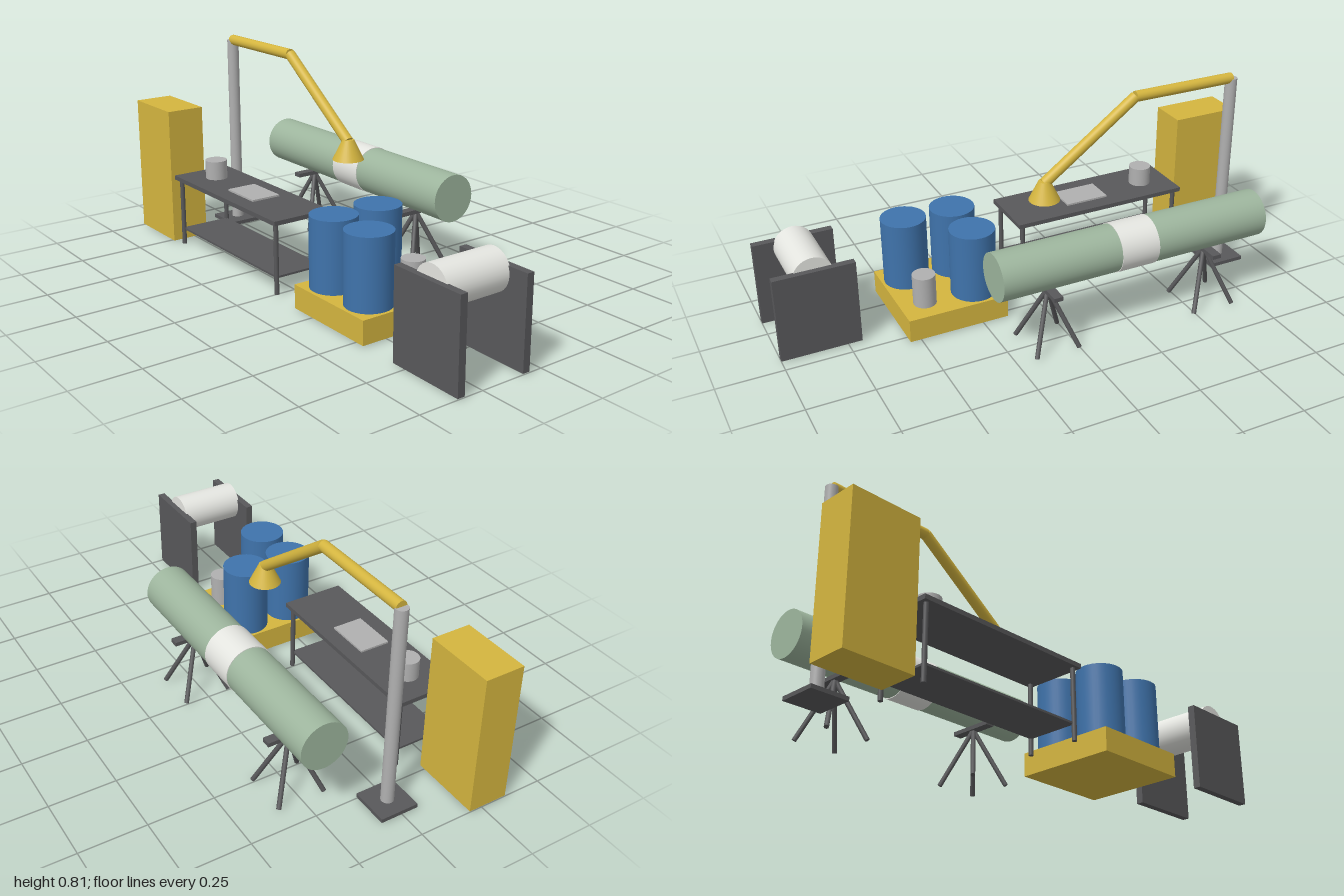
import * as THREE from 'three';

const paint = (color) => new THREE.MeshStandardMaterial({ color });

export function createModel() {
  const model = new THREE.Group();
  const yellow = paint(0xd4b53f), dark = paint(0x58585a), green = paint(0x9db59d);
  const blue = paint(0x3f73ab), steel = paint(0xb0b0b0), white = paint(0xe4e5e0);
  const FLOOR = 0.005;

  const group = (name) => {
    const g = new THREE.Group();
    g.name = name;
    model.add(g);
    return g;
  };
  const add = (parent, name, geometry, material) => {
    const mesh = new THREE.Mesh(geometry, material);
    mesh.name = name;
    parent.add(mesh);
    return mesh;
  };
  // Box given by its extent along each axis
  const box = (parent, name, [x0, x1], [y0, y1], [z0, z1], material) =>
    add(parent, name, new THREE.BoxGeometry(x1 - x0, y1 - y0, z1 - z0), material)
      .position.set((x0 + x1) / 2, (y0 + y1) / 2, (z0 + z1) / 2);
  // Cylinder (or cone) running from point a to point b
  const rod = (parent, name, a, b, radius, material, sides = 32, endRadius = radius) => {
    const from = new THREE.Vector3(...a), to = new THREE.Vector3(...b);
    const dir = to.clone().sub(from);
    const mesh = add(parent, name, new THREE.CylinderGeometry(endRadius, radius, dir.length(), sides), material);
    mesh.position.copy(from).add(to).multiplyScalar(0.5);
    mesh.quaternion.setFromUnitVectors(new THREE.Vector3(0, 1, 0), dir.normalize());
  };

  // Tall storage cabinet
  box(model, 'cabinet', [-1, -0.73], [FLOOR, 0.55], [0.2, 0.352], yellow);

  // Large pipe with a wrapped joint
  const pipe = group('pipe');
  rod(pipe, 'pipeBody', [-0.79, 0.333, -0.253], [0.3, 0.333, -0.253], 0.09, green, 48);
  rod(pipe, 'jointWrap', [-0.32, 0.333, -0.253], [-0.167, 0.333, -0.253], 0.0925, white, 48);

  // Two four-legged stands below the pipe
  for (const x of [-0.577, 0.09]) {
    const stand = group('pipeStand');
    box(stand, 'standBar', [x - 0.018, x + 0.018], [0.225, 0.241], [-0.343, -0.162], dark);
    for (const sx of [-1, 1]) for (const sz of [-1, 1])
      rod(stand, 'standLeg', [x + sx * 0.086, 0.006, -0.253 + sz * 0.09], [x, 0.23, -0.253], 0.009, dark, 8);
  }

  // Workbench with a lower shelf
  const bench = group('workbench');
  box(bench, 'benchTop', [-0.7, 0.027], [0.276, 0.293], [0.11, 0.352], dark);
  box(bench, 'benchShelf', [-0.678, 0.005], [0.066, 0.074], [0.13, 0.332], dark);
  for (const x of [-0.678, 0.005]) for (const z of [0.13, 0.332])
    rod(bench, 'benchLeg', [x, FLOOR, z], [x, 0.28, z], 0.009, dark, 12);
  rod(bench, 'pot', [-0.577, 0.293, 0.23], [-0.577, 0.367, 0.23], 0.043, steel);
  box(bench, 'tray', [-0.39, -0.214], [0.293, 0.3], [0.17, 0.288], steel);

  // Extraction arm on a pole
  const arm = group('extractionArm');
  box(arm, 'armBase', [-0.893, -0.746], [FLOOR, 0.02], [-0.085, 0.062], dark);
  rod(arm, 'pole', [-0.82, 0.02, -0.011], [-0.82, 0.793, -0.011], 0.0235, steel);
  rod(arm, 'upperArm', [-0.818, 0.793, -0.011], [-0.393, 0.793, -0.011], 0.021, yellow);
  rod(arm, 'lowerArm', [-0.393, 0.793, -0.011], [-0.018, 0.52, -0.011], 0.021, yellow);
  rod(arm, 'hood', [-0.018, 0.453, -0.011], [-0.018, 0.529, -0.011], 0.059, yellow, 32, 0.022);

  // Spill pallet carrying three drums and a can
  const pallet = group('drumPallet');
  box(pallet, 'pallet', [0.15, 0.543], [FLOOR, 0.095], [-0.04, 0.352], yellow);
  for (const [x, z] of [[0.247, 0.058], [0.247, 0.252], [0.445, 0.252]])
    rod(pallet, 'drum', [x, 0.095, z], [x, 0.362, z], 0.087, blue);
  rod(pallet, 'can', [0.445, 0.095, 0.058], [0.445, 0.217, 0.058], 0.044, steel);

  // Roll of material between two upright panels
  const reel = group('rollStand');
  for (const [z0, z1] of [[0.051, 0.079], [0.324, 0.352]])
    box(reel, 'sidePanel', [0.697, 1], [FLOOR, 0.338], [z0, z1], dark);
  rod(reel, 'roll', [0.848, 0.307, 0.074], [0.848, 0.307, 0.33], 0.076, white);

  return model;
}
